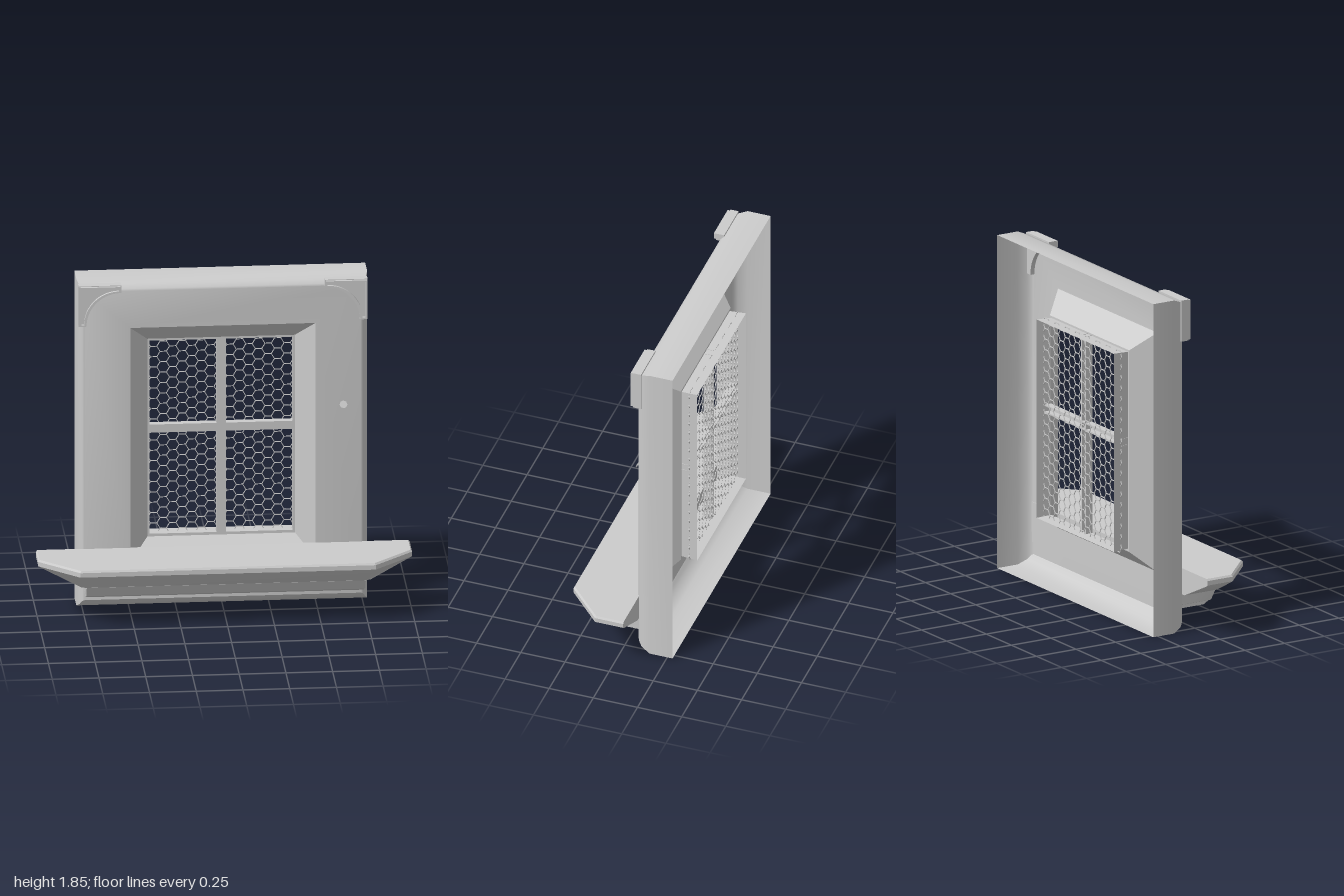
import * as THREE from 'three';
import { mergeGeometries, toCreasedNormals } from 'three/addons/utils/BufferGeometryUtils.js';

const grey = new THREE.MeshStandardMaterial({ color: 0xcccccc, side: THREE.DoubleSide });

function add(parent, name, geometry) {
  const mesh = new THREE.Mesh(geometry, grey);
  mesh.name = name;
  parent.add(mesh);
  return mesh;
}

// Skin closed loops of equal point count, optionally capping both ends
function loft(loops, capped) {
  const n = loops[0].length, index = [];
  for (let i = 0; i < loops.length - 1; i++) {
    for (let j = 0; j < n; j++) {
      const k = (j + 1) % n;
      const a = i * n + j, b = i * n + k, c = b + n, d = a + n;
      index.push(a, b, c, a, c, d);
    }
  }
  if (capped) {
    const top = (loops.length - 1) * n;
    for (let j = 1; j < n - 1; j++) index.push(0, j + 1, j, top, top + j, top + j + 1);
  }
  const geo = new THREE.BufferGeometry();
  geo.setAttribute('position', new THREE.Float32BufferAttribute(loops.flat(2), 3));
  geo.setIndex(index);
  return toCreasedNormals(geo, 0.5);
}

// Rectangle loop facing the front
const rect = (w, y0, y1, z) => [[-w, y0, z], [w, y0, z], [w, y1, z], [-w, y1, z]];

// Sill outline: back corners, side corners and front corners
const sillLoop = (y, w, side, c, front) => [
  [-w, y, -0.08], [-w, y, side], [-c, y, front], [c, y, front], [w, y, side], [w, y, -0.08],
];

// Quarter bracket outline, corner at the origin, arms along -x and -y
function bracketOutline(Type, inset) {
  const L = 0.228 - inset, s = inset, arm = 0.042 - inset, r = L - arm;
  const p = new Type();
  p.moveTo(-s, -s);
  p.lineTo(-L, -s);
  p.lineTo(-L, -arm);
  p.absarc(-L, -L, r, Math.PI / 2, 0, true);
  p.lineTo(-s, -L);
  p.closePath();
  return p;
}

function bracket() {
  const group = new THREE.Group();
  const plate = new THREE.ExtrudeGeometry(bracketOutline(THREE.Shape, 0), { depth: 0.045, bevelEnabled: false, curveSegments: 14 });
  add(group, 'bracketPlate', toCreasedNormals(plate, 0.5)).position.z = -0.1;
  const rimShape = bracketOutline(THREE.Shape, 0.004);
  rimShape.holes.push(bracketOutline(THREE.Path, 0.013));
  const rim = new THREE.ExtrudeGeometry(rimShape, { depth: 0.015, bevelEnabled: false, curveSegments: 14 });
  add(group, 'bracketRim', toCreasedNormals(rim, 0.5)).position.z = -0.055;
  return group;
}

// Flat-topped honeycomb of thin wires filling a rectangle
function honeycomb(w, y0, y1, r) {
  const t = 0.004, h = r * Math.sqrt(3), wires = [];
  const wire = (ax, ay, bx, by) => {
    const mx = (ax + bx) / 2, my = (ay + by) / 2;
    if (Math.abs(mx) > w || my < y0 || my > y1) return;
    const g = new THREE.BoxGeometry(Math.hypot(bx - ax, by - ay) + t * 0.5, t, t);
    g.rotateZ(Math.atan2(by - ay, bx - ax));
    g.translate(mx, my, 0);
    wires.push(g);
  };
  const cols = Math.ceil(w / (1.5 * r)) + 1;
  for (let i = -cols; i <= cols; i++) {
    for (let y = y0 - h + (i & 1 ? h / 2 : 0); y < y1 + h; y += h) {
      const x = i * 1.5 * r;
      // three edges per cell, neighbours supply the others
      const p = [0, 1, 2, 3].map(k => [x + r * Math.cos(k * Math.PI / 3), y + r * Math.sin(k * Math.PI / 3)]);
      for (let k = 0; k < 3; k++) wire(...p[k], ...p[k + 1]);
    }
  }
  return mergeGeometries(wires);
}

// Glazing bar: channel open at the back, running along x
function channel(length, width, depth) {
  const l = length / 2, w = width / 2;
  const front = new THREE.PlaneGeometry(length, width);
  const sides = [-1, 1].map(s => {
    const g = new THREE.BoxGeometry(2 * l, 0.008, depth);
    g.translate(0, s * (w - 0.004), -depth / 2);
    return g;
  });
  return mergeGeometries([front, ...sides]);
}

export function createModel() {
  const model = new THREE.Group();
  model.name = 'window';

  // Open-backed surround with rounded outer edge and splayed reveal
  add(model, 'surround', loft([
    rect(0.778, 0, 1.85, -0.28),
    rect(0.778, 0, 1.85, -0.15),
    rect(0.765, 0.025, 1.83, -0.1),
    rect(0.75, 0.05, 1.81, -0.08),
    rect(0.74, 0.055, 1.8, -0.075),
    rect(0.495, 0.26, 1.59, -0.075),
    rect(0.395, 0.365, 1.485, -0.19),
    rect(0.382, 0.38, 1.474, -0.19),
    rect(0.386, 0.376, 1.478, -0.28),
  ], false));

  // Glazing bars and wire mesh
  const bars = new THREE.Group();
  bars.name = 'glazingBars';
  model.add(bars);
  add(bars, 'horizontalBar', channel(0.77, 0.046, 0.04)).position.set(0, 0.975, -0.19);
  const upright = add(bars, 'verticalBar', channel(1.1, 0.05, 0.04));
  upright.rotation.z = Math.PI / 2;
  upright.position.set(0, 0.927, -0.188);
  add(model, 'wireMesh', honeycomb(0.395, 0.365, 1.485, 0.034)).position.z = -0.235;

  // Sill with slab top, tapered underside and lower moulding
  add(model, 'sill', loft([
    sillLoop(0.122, 0.745, 0.055, 0.74, 0.065),
    sillLoop(0.14, 0.745, 0.085, 0.74, 0.095),
    sillLoop(0.142, 0.748, 0.095, 0.745, 0.105),
    sillLoop(0.2, 0.75, 0.125, 0.745, 0.137),
    sillLoop(0.201, 0.775, 0.125, 0.75, 0.137),
    sillLoop(0.302, 0.99, 0.075, 0.785, 0.268),
    sillLoop(0.31, 1, 0.08, 0.79, 0.277),
    sillLoop(0.335, 1, 0.08, 0.79, 0.277),
    sillLoop(0.345, 0.992, 0.076, 0.785, 0.27),
  ], true));

  // Corner brackets, mirrored
  for (const s of [1, -1]) {
    const b = bracket();
    b.name = s > 0 ? 'leftBracket' : 'rightBracket';
    b.scale.x = s;
    b.position.set(s * 0.773, 1.84, 0);
    model.add(b);
  }

  // Bent nail
  const nail = new THREE.Group();
  nail.name = 'nail';
  add(nail, 'nailShank', new THREE.CylinderGeometry(0.006, 0.006, 0.06, 8)).position.y = -0.03;
  add(nail, 'nailHead', new THREE.CylinderGeometry(0.021, 0.019, 0.006, 8));
  nail.rotation.x = 1.1;
  nail.position.set(0.642, 1.138, -0.036);
  model.add(nail);

  return model;
}
